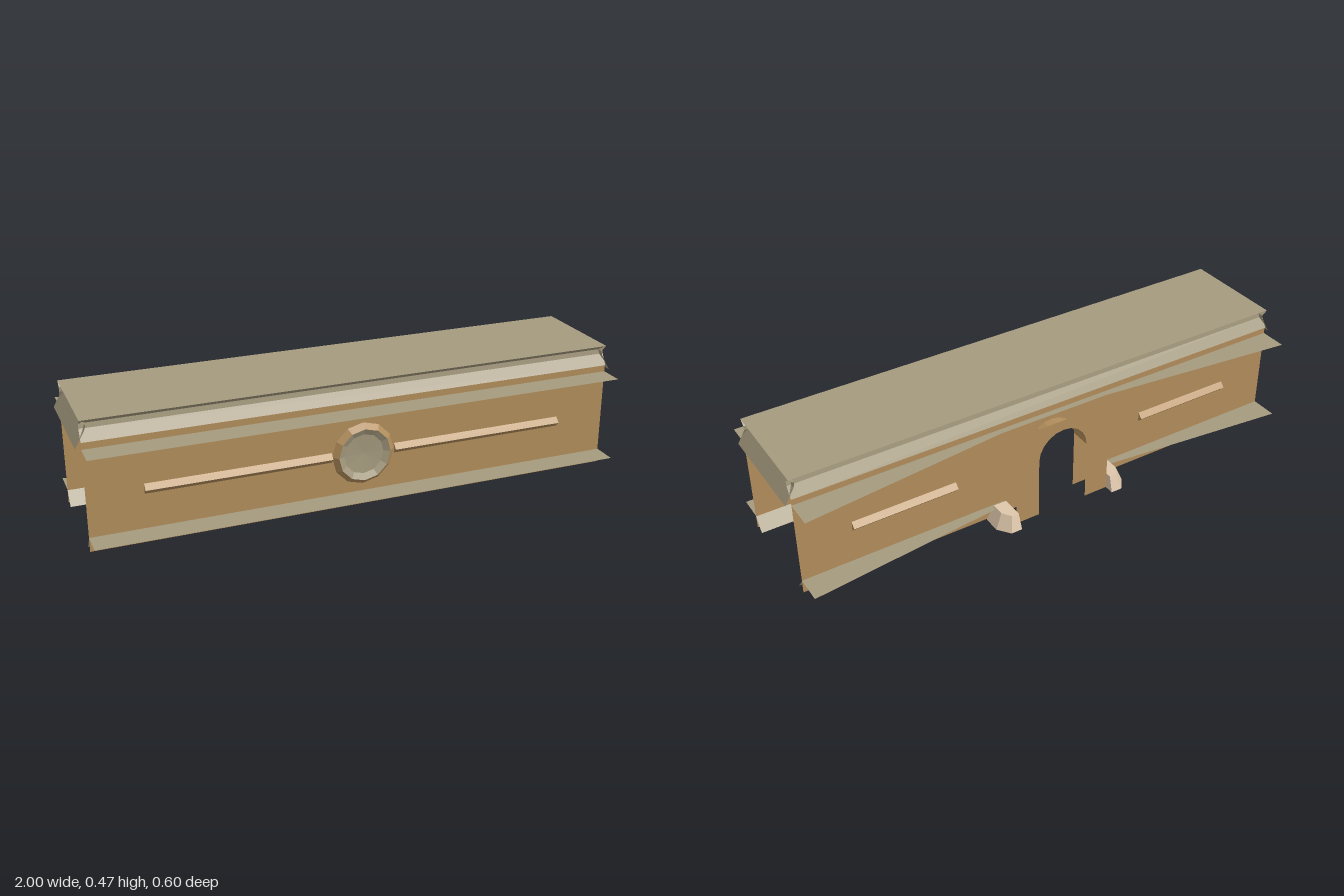
import * as THREE from 'three';
import { ConvexGeometry } from 'three/addons/geometries/ConvexGeometry.js';

const mat = (name, color) => {
  const m = new THREE.MeshStandardMaterial({ color, side: THREE.DoubleSide });
  m.name = name;
  return m;
};

export function createModel() {
  const sandstone = mat('sandstone', 0xb28d5b);
  const trim = mat('trim stone', 0xa59a7e);
  const paleStone = mat('pale stone', 0xdec6aa);
  const group = new THREE.Group();

  const add = (name, geometry, material) => {
    const mesh = new THREE.Mesh(geometry, material);
    mesh.name = name;
    group.add(mesh);
    return mesh;
  };

  // Flat-faced sheet lofted through rows of [x, y, z] points
  const loft = (rows) => {
    const pos = [];
    for (let r = 0; r < rows.length - 1; r++) {
      for (let i = 0; i < rows[r].length - 1; i++) {
        const a = rows[r][i], b = rows[r][i + 1], c = rows[r + 1][i + 1], d = rows[r + 1][i];
        pos.push(...a, ...b, ...c, ...a, ...c, ...d);
      }
    }
    const g = new THREE.BufferGeometry();
    g.setAttribute('position', new THREE.Float32BufferAttribute(pos, 3));
    g.computeVertexNormals();
    return g;
  };
  // Sheet with a [z, y] profile running along x
  const alongX = (profile, x0, x1) =>
    loft([x0, x1].map((x) => profile.map(([z, y]) => [x, y, z])));
  const vectors = (pts) => pts.map(([x, y]) => new THREE.Vector2(x, y));
  const rect = (x0, x1, y0, y1) => vectors([[x0, y0], [x1, y0], [x1, y1], [x0, y1]]);
  const flat = (pts, holes = []) => {
    const shape = new THREE.Shape(pts);
    holes.forEach((h) => shape.holes.push(new THREE.Path(h)));
    return new THREE.ShapeGeometry(shape);
  };
  // Level sheet from [x, z] points
  const level = (pts, y) =>
    flat(vectors(pts.map(([x, z]) => [x, -z]))).rotateX(-Math.PI / 2).translate(0, y, 0);

  const L = 0.98, FRONT = 0.207, BACK = -0.187, PORCH = -0.265;
  const TOP = 0.47, WALL_TOP = 0.4, LEDGES = [0.37, 0.052];
  const stripY = [0.179, 0.197, 0.216];

  // Front wall, open behind the medallion and strips
  const medY = 0.197, medR = 0.117, sides = 12;
  const ring = Array.from({ length: sides }, (_, i) => {
    const a = (i / sides) * Math.PI * 2;
    return new THREE.Vector2(Math.cos(a) * medR, medY + Math.sin(a) * medR);
  });
  add('frontWall', flat(rect(-L, L, 0, WALL_TOP), [
    ring,
    rect(0.119, 0.785, stripY[0], stripY[2]),
    rect(-0.785, -0.119, stripY[0], stripY[2]),
  ]).translate(0, 0, FRONT), sandstone);

  // Arch outline from right foot over to left foot
  const archCurve = Array.from({ length: 11 }, (_, i) => {
    const a = (i / 10) * Math.PI;
    return [Math.cos(a) * 0.1, 0.235 + Math.sin(a) * 0.1];
  });
  const withArch = (half, top) => vectors([
    [0.1, 0], ...archCurve, [-0.1, 0], [-half, 0], [-half, top], [half, top], [half, 0],
  ]);

  // Back wall, doorway panel and arch soffit
  add('backWall', flat(withArch(L, WALL_TOP), [
    rect(0.39, 0.785, stripY[0], stripY[2]),
    rect(-0.785, -0.39, stripY[0], stripY[2]),
  ]).translate(0, 0, BACK), sandstone);
  add('doorwayPanel', flat(withArch(0.195, 0.375)).translate(0, 0, PORCH), sandstone);
  add('archSoffit', loft([BACK, PORCH].map((z) => archCurve.map(([x, y]) => [x, y, z]))), sandstone);

  // Wedge-shaped wall strips with closed ends
  const strip = (name, x0, x1, wall, tip) => {
    const profile = [[wall, stripY[0]], [tip, stripY[1]], [wall, stripY[2]]];
    add(name, alongX(profile, x0, x1), sandstone);
    for (const x of [x0, x1]) {
      const [a, b, c] = profile.map(([z, y]) => [x, y, z]);
      add(name + 'End', loft([[a, b], [c, c]]), sandstone);
    }
  };
  for (const s of [1, -1]) {
    strip('frontStrip', s * 0.119, s * 0.785, FRONT, 0.225);
    strip('backStrip', s * 0.39, s * 0.785, BACK, -0.205);
  }

  // Medallion: bevelled rim around a shallow dish
  const lathe = (pts) => {
    const g = new THREE.LatheGeometry(vectors(pts), sides).rotateX(Math.PI / 2)
      .rotateZ(Math.PI / sides * 2).toNonIndexed();
    g.computeVertexNormals();
    return g.translate(0, medY, FRONT);
  };
  add('medallionRim', lathe([[medR, 0], [0.098, 0.02]]), sandstone);
  add('medallionDish', lathe([[0.098, 0.02], [0.075, 0.008], [0, 0.003]]), trim);

  // Roof slab and surrounding cornice
  add('roof', level([[-L, FRONT], [L, FRONT], [L, BACK], [-L, BACK]], TOP), trim);
  add('frontCornice', alongX([[FRONT, TOP], [0.185, 0.453], [0.187, 0.435], [0.21, 0.395]], -L, L), trim);
  add('backCornice', alongX([[BACK, TOP], [-0.165, 0.453], [-0.167, 0.435], [-0.19, 0.395]], -L, L), trim);
  const endProfile = [[L, TOP], [0.96, 0.453], [0.965, 0.435], [1, 0.375]];
  for (const s of [1, -1]) {
    add('endCornice', loft([FRONT, BACK].map((z) => endProfile.map(([x, y]) => [s * x, y, z]))), trim);
  }

  // Level ledges; the back ones taper toward the doorway
  for (const y of LEDGES) {
    add('frontLedge', level([[-L, 0.3], [L, 0.3], [L, FRONT], [-L, FRONT]], y), trim);
  }
  add('backUpperLedge', level([
    [-L, BACK], [L, BACK], [L, -0.29], [0.22, -0.21], [-0.22, -0.21], [-L, -0.29],
  ], LEDGES[0]), trim);
  for (const s of [1, -1]) {
    add('backLowerLedge', level([
      [s * 0.2, BACK], [s * L, BACK], [s * L, -0.29], [s * 0.22, -0.21], [s * 0.2, -0.21],
    ], LEDGES[1]), trim);
    add('backFooting', alongX([[BACK, 0.05], [-0.15, 0]], s * 0.2, s * L), trim);
  }
  add('frontFooting', alongX([[FRONT, 0.05], [0.17, 0]], -L, L), trim);

  // Chamfered stone blocks beside the doorway
  const base = [[0.195, -0.19], [0.273, -0.19], [0.273, -0.257], [0.238, -0.303], [0.195, -0.303]];
  const cap = [[0.197, -0.2], [0.248, -0.2], [0.248, -0.25], [0.225, -0.284], [0.197, -0.284]];
  for (const s of [1, -1]) {
    const corner = (y) => ([x, z]) => new THREE.Vector3(s * x, y, z);
    add('doorBlock', new ConvexGeometry([...base.map(corner(0)), ...cap.map(corner(0.06))]), paleStone);
  }
  return group;
}
